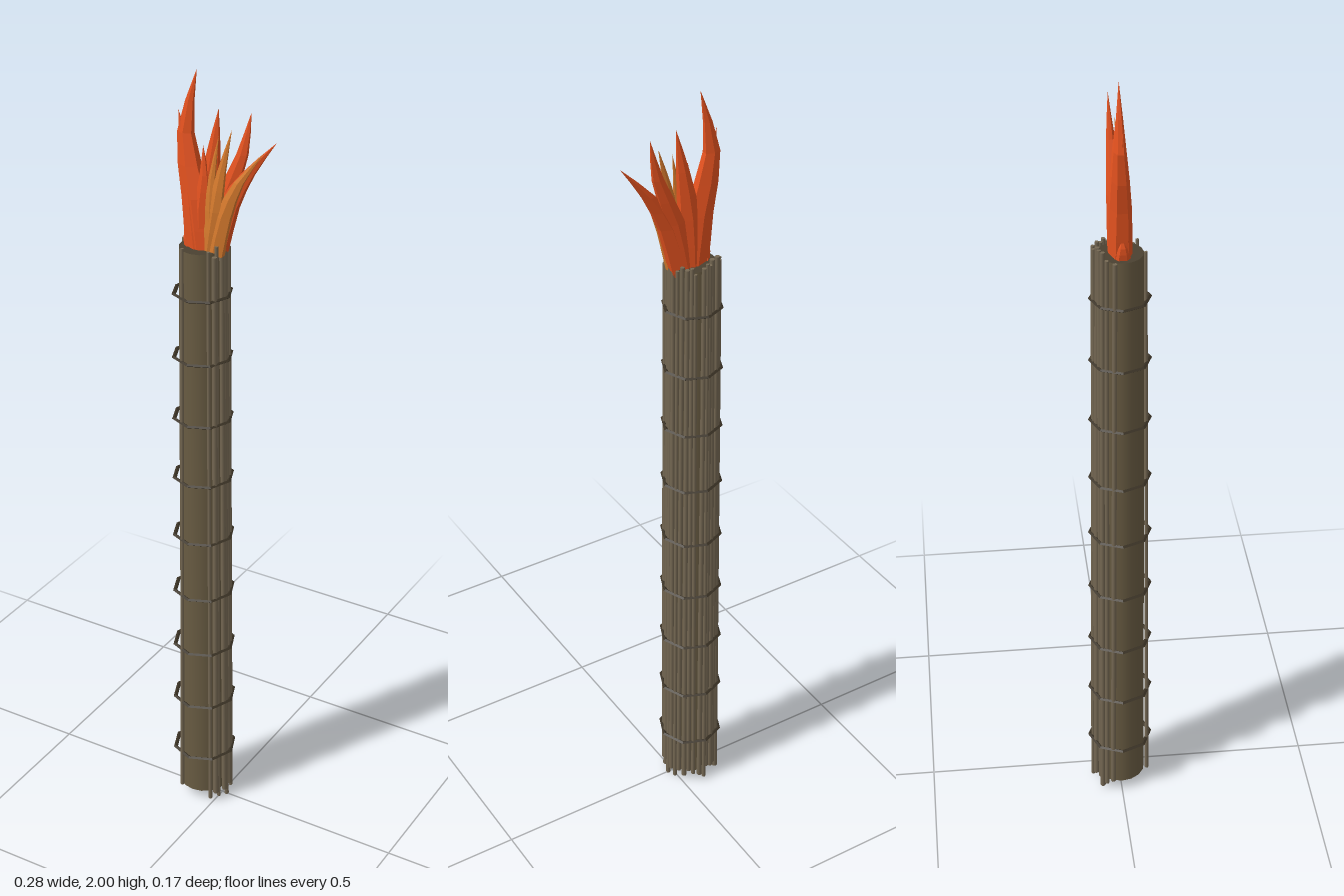
import * as THREE from 'three';

const mat = (name, color, flatShading = false) => {
  const m = new THREE.MeshStandardMaterial({ color, flatShading });
  m.name = name;
  return m;
};

// Small seeded generator for the irregular sticks
function seeded(seed) {
  return () => {
    seed = (seed * 16807) % 2147483647;
    return seed / 2147483647;
  };
}

// A pointed tongue: a tapered tube swept along a path, flattened in z
function tongueGeometry(points, width, depth) {
  const curve = new THREE.CatmullRomCurve3(points.map(p => new THREE.Vector3(...p)));
  const geo = new THREE.CylinderGeometry(1, 1, 1, 6, 6);
  const pos = geo.attributes.position;
  for (let i = 0; i < pos.count; i++) {
    const t = pos.getY(i) + 0.5;
    const c = curve.getPoint(t);
    const r = Math.pow(1 - t, 0.8) * (1 + 0.25 * Math.sin(t * Math.PI)) + 0.01;
    pos.setXYZ(i, c.x + pos.getX(i) * r * width, c.y, c.z + pos.getZ(i) * r * depth);
  }
  geo.computeVertexNormals();
  return geo;
}

export function createModel() {
  const root = new THREE.Group();
  root.name = 'torch';
  const wood = mat('dark wood', 0x685b42);
  const endWood = mat('charred end wood', 0x4a4131);
  const bark = mat('stick wood', 0x756853);
  const binding = mat('dark binding', 0x3a3225, true);
  const red = mat('flame red orange', 0xe4521f, true);
  const amber = mat('flame amber', 0xd67a2d, true);

  const shaft = new THREE.Group();
  shaft.name = 'shaft';
  shaft.position.x = -0.055;
  root.add(shaft);
  const add = (parent, name, geo, material) => {
    const mesh = new THREE.Mesh(geo, material);
    mesh.name = name;
    parent.add(mesh);
    return mesh;
  };

  // Solid core, slightly narrower at the top, with a charred top face
  add(shaft, 'core', new THREE.CylinderGeometry(0.055, 0.065, 1.55, 16), [wood, endWood, wood]).position.y = 0.805;

  // Octagonal bindings
  for (let i = 0; i < 9; i++) {
    const ring = add(shaft, 'binding', new THREE.TorusGeometry(0.079 - i * 0.0012, 0.0055, 4, 8), binding);
    ring.rotation.x = Math.PI / 2;
    ring.scale.z = 0.65;
    ring.position.y = 0.145 + i * 0.165;
  }

  // Thin sticks packed around the side and back, leaving the front mostly bare
  const rand = seeded(4127);
  const up = new THREE.Vector3(0, 1, 0);
  const addStick = (angle, bottom, top, rBottom, rTop, thick) => {
    const a = THREE.MathUtils.degToRad(angle);
    const twist = (rand() - 0.5) * 0.14;
    const p = new THREE.Vector3(Math.cos(a) * rBottom, bottom, Math.sin(a) * rBottom);
    const q = new THREE.Vector3(Math.cos(a + twist) * rTop, top, Math.sin(a + twist) * rTop);
    const stick = add(shaft, 'stick', new THREE.CylinderGeometry(thick * 0.85, thick, p.distanceTo(q), 6), bark);
    stick.position.copy(p).add(q).multiplyScalar(0.5);
    stick.quaternion.setFromUnitVectors(up, q.sub(p).normalize());
  };
  for (let i = 0; i < 19; i++) {
    const angle = -158 + i * 11.3 + (rand() - 0.5) * 5;
    addStick(angle, 0.005 + rand() * 0.035, 1.565 + rand() * 0.045,
      0.065 + rand() * 0.007, 0.056 + rand() * 0.009, 0.0048 + rand() * 0.003);
  }
  addStick(0, 0, 1.59, 0.068, 0.058, 0.006);
  addStick(112, 0.04, 1.59, 0.075, 0.06, 0.005);

  // Flame: a flat fan of curved tongues
  const flame = new THREE.Group();
  flame.name = 'flame';
  root.add(flame);
  const tongues = [
    [[[-0.05, 1.55, 0], [-0.07, 1.7, 0], [-0.1, 1.85, -0.005], [-0.07, 2, -0.005]], 0.042, 0.028, red],
    [[[-0.06, 1.56, 0.004], [-0.075, 1.68, 0.003], [-0.095, 1.8, 0], [-0.116, 1.9, 0]], 0.032, 0.024, red],
    [[[-0.045, 1.56, -0.006], [-0.04, 1.7, -0.006], [-0.025, 1.82, -0.004], [-0.01, 1.92, 0]], 0.032, 0.022, red],
    [[[-0.03, 1.56, -0.008], [0, 1.7, -0.01], [0.045, 1.82, -0.012], [0.066, 1.92, -0.015]], 0.03, 0.018, red],
    [[[-0.025, 1.56, -0.004], [0.012, 1.69, -0.004], [0.065, 1.78, -0.005], [0.136, 1.865, -0.005]], 0.034, 0.02, red],
    [[[-0.015, 1.57, 0.01], [0.01, 1.67, 0.012], [0.05, 1.76, 0.012], [0.11, 1.84, 0.004]], 0.026, 0.014, amber],
    [[[-0.03, 1.57, 0.01], [-0.012, 1.68, 0.014], [0.005, 1.78, 0.012], [0.03, 1.88, 0.01]], 0.022, 0.013, amber],
    [[[-0.05, 1.57, 0.008], [-0.05, 1.68, 0.01], [-0.043, 1.76, 0.01], [-0.046, 1.83, 0.008]], 0.022, 0.015, red],
    [[[-0.025, 1.57, 0.008], [-0.022, 1.68, 0.013], [-0.02, 1.76, 0.012], [-0.005, 1.86, 0.008]], 0.018, 0.012, amber],
    [[[-0.075, 1.55, 0], [-0.085, 1.58, 0.002], [-0.092, 1.61, 0.002], [-0.088, 1.64, 0]], 0.016, 0.022, red],
  ];
  for (const [points, width, depth, material] of tongues) {
    add(flame, 'flameTongue', tongueGeometry(points, width, depth), material);
  }
  return root;
}
